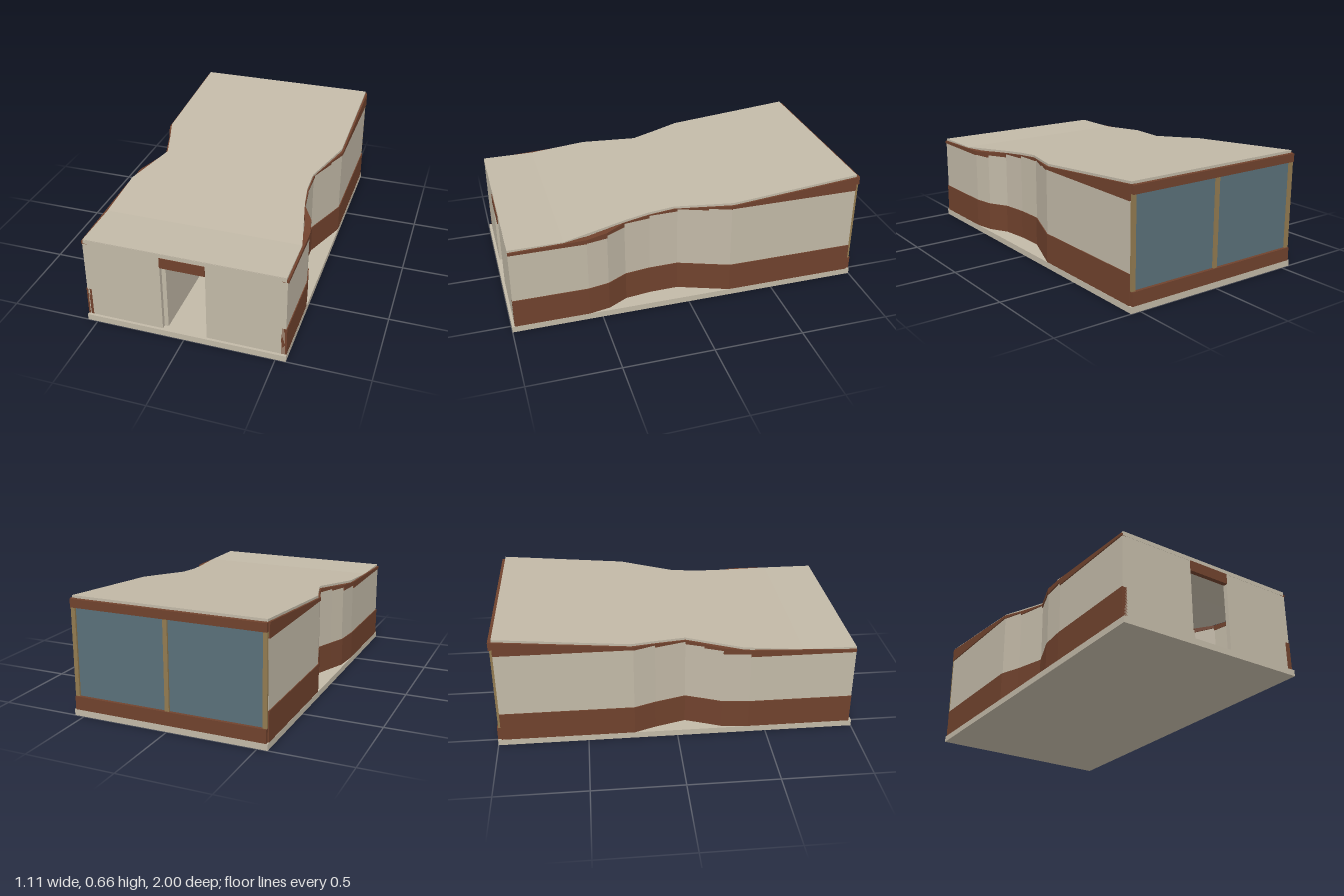
import * as THREE from 'three';
import { mergeGeometries } from 'three/addons/utils/BufferGeometryUtils.js';

const material = (name, color, side = THREE.FrontSide) => {
  const m = new THREE.MeshStandardMaterial({ color, side });
  m.name = name;
  return m;
};

// Roof height: level over the entrance, then a straight rise to the back.
const CREASE = 0.69, BACK = -0.98, FRONT = 0.985;
const roofTop = (z) => 0.515 + Math.max(0, (CREASE - z) / (CREASE - BACK)) * 0.146;
const ROOF_THICKNESS = 0.014;

// Side wall plans, front to back: [distance from centre, z, top of plaster behind this point]
const leftPlan = [
  [0.55, 0.985, 0.487], [0.55, 0.57, 0.49], [0.528, 0.455, 0.505], [0.467, 0.345, 0.525],
  [0.448, 0.2, 0.54], [0.445, 0.04, 0.553], [0.505, -0.12, 0.563], [0.55, -0.24, 0.566], [0.55, -0.98, 0.566],
];
const rightPlan = [
  [0.55, 0.985, 0.487], [0.55, 0.4, 0.505], [0.535, 0.25, 0.525], [0.495, 0.15, 0.535],
  [0.457, 0.05, 0.55], [0.505, -0.12, 0.563], [0.55, -0.24, 0.566], [0.55, -0.98, 0.566],
];

// One band of a side wall: a bent box for each straight run of the plan.
function wallBand(plan, side, proud, thickness, bottom, top) {
  const runs = [];
  for (let i = 0; i < plan.length - 1; i++) {
    const g = new THREE.BoxGeometry(1, 1, 1);
    const p = g.attributes.position;
    for (let v = 0; v < p.count; v++) {
      const [x, z] = p.getZ(v) > 0 ? plan[i] : plan[i + 1];
      const outer = p.getX(v) * side > 0;
      const y = p.getY(v) > 0 ? top(z, plan[i][2]) : bottom(z, plan[i][2]);
      p.setXYZ(v, side * (x + proud - (outer ? 0 : thickness)), y, z);
    }
    g.computeVertexNormals();
    runs.push(g);
  }
  return mergeGeometries(runs);
}

// A roof slab from a plan outline of [x, z] points.
function roofSlab(points) {
  const shape = new THREE.Shape(points.map(([x, z]) => new THREE.Vector2(x, -z)));
  const g = new THREE.ExtrudeGeometry(shape, { depth: ROOF_THICKNESS, bevelEnabled: false });
  g.rotateX(-Math.PI / 2);
  const p = g.attributes.position;
  for (let i = 0; i < p.count; i++) p.setY(i, p.getY(i) - ROOF_THICKNESS + roofTop(p.getZ(i)));
  g.computeVertexNormals();
  return g;
}

export function createModel() {
  const model = new THREE.Group();
  model.name = 'pavilion';
  const plaster = material('plaster', 0xc2b9a7);
  const brown = material('brown wood', 0x70422d);
  const tan = material('tan wood', 0x927a50);
  const glass = material('glass', 0x5a7079);

  const add = (name, geometry, mat, parent = model) => {
    const mesh = new THREE.Mesh(geometry, mat);
    mesh.name = name;
    parent.add(mesh);
    return mesh;
  };
  // Box given by its limits on each axis
  const box = (name, mat, x0, x1, y0, y1, z0, z1, parent) => {
    const mesh = add(name, new THREE.BoxGeometry(x1 - x0, y1 - y0, z1 - z0), mat, parent);
    mesh.position.set((x0 + x1) / 2, (y0 + y1) / 2, (z0 + z1) / 2);
    return mesh;
  };

  box('floorSlab', plaster, -0.556, 0.556, 0, 0.035, -1, 1);

  // Curved side walls: brown base, plaster, and brown fascia up to the roof
  for (const [name, plan, side] of [['left', leftPlan, 1], ['right', rightPlan, -1]]) {
    const wall = new THREE.Group();
    wall.name = name + 'Wall';
    model.add(wall);
    add(name + 'WallBase', wallBand(plan, side, 0.005, 0.03, () => 0.035, () => 0.2), brown, wall);
    add(name + 'WallPlaster', wallBand(plan, side, 0, 0.025, () => 0.2, (z, h) => h), plaster, wall);
    add(name + 'WallFascia',
      wallBand(plan, side, 0.006, 0.035, (z, h) => h, (z) => roofTop(z) - ROOF_THICKNESS + 0.001), brown, wall);
  }

  // Roof: level front strip and rising waisted part
  add('roofFront', roofSlab([[-0.545, FRONT], [0.545, FRONT], [0.545, CREASE], [-0.545, CREASE]]), plaster);
  add('roofSlope', roofSlab([
    [-0.545, CREASE], [0.545, CREASE], [0.467, 0.334], [0.447, 0.2], [0.445, 0.06], [0.545, -0.25],
    [0.545, BACK], [-0.545, BACK], [-0.545, -0.25], [-0.503, -0.12], [-0.453, 0.05], [-0.545, 0.36],
  ]), plaster);

  // Front wall with doorway
  for (const s of [-1, 1]) {
    const x0 = s > 0 ? 0.123 : -0.545;
    box(s > 0 ? 'frontWallLeft' : 'frontWallRight', plaster, x0, x0 + 0.422, 0.035, 0.49, 0.96, 0.985);
  }
  box('frontTrim', plaster, -0.545, 0.545, 0.49, 0.512, 0.96, 0.986);
  box('doorLintel', brown, -0.123, 0.123, 0.43, 0.49, 0.965, 0.99);
  box('corridorWall', plaster, -0.125, -0.1, 0.035, 0.5, 0.45, 0.96);

  // Glazed back wall
  box('backSill', brown, -0.548, 0.548, 0.035, 0.11, -1, -0.97);
  box('backHeader', brown, -0.548, 0.548, 0.6, 0.646, -1, -0.965);
  box('backGlass', glass, -0.54, 0.54, 0.11, 0.6, -0.982, -0.974);
  for (const x of [-0.537, 0, 0.537])
    box('backPost', tan, x - 0.012, x + 0.012, 0.11, 0.6, -0.993, -0.965);

  // Table and round-backed chair inside
  const table = new THREE.Group();
  table.name = 'table';
  model.add(table);
  box('tableTop', brown, -0.1, 0.11, 0.15, 0.16, 0.1, 0.4, table);
  box('tableSupport', plaster, -0.1, -0.08, 0.035, 0.15, 0.12, 0.38, table);
  for (const z of [0.13, 0.37])
    box('tableLeg', tan, 0.088, 0.104, 0.035, 0.15, z - 0.008, z + 0.008, table);
  const seat = add('chairSeat', new THREE.CylinderGeometry(0.05, 0.05, 0.012, 20), brown);
  seat.position.set(0.16, 0.1, 0.25);
  const leg = add('chairLeg', new THREE.CylinderGeometry(0.01, 0.02, 0.06, 12), brown);
  leg.position.set(0.16, 0.065, 0.25);

  return model;
}
